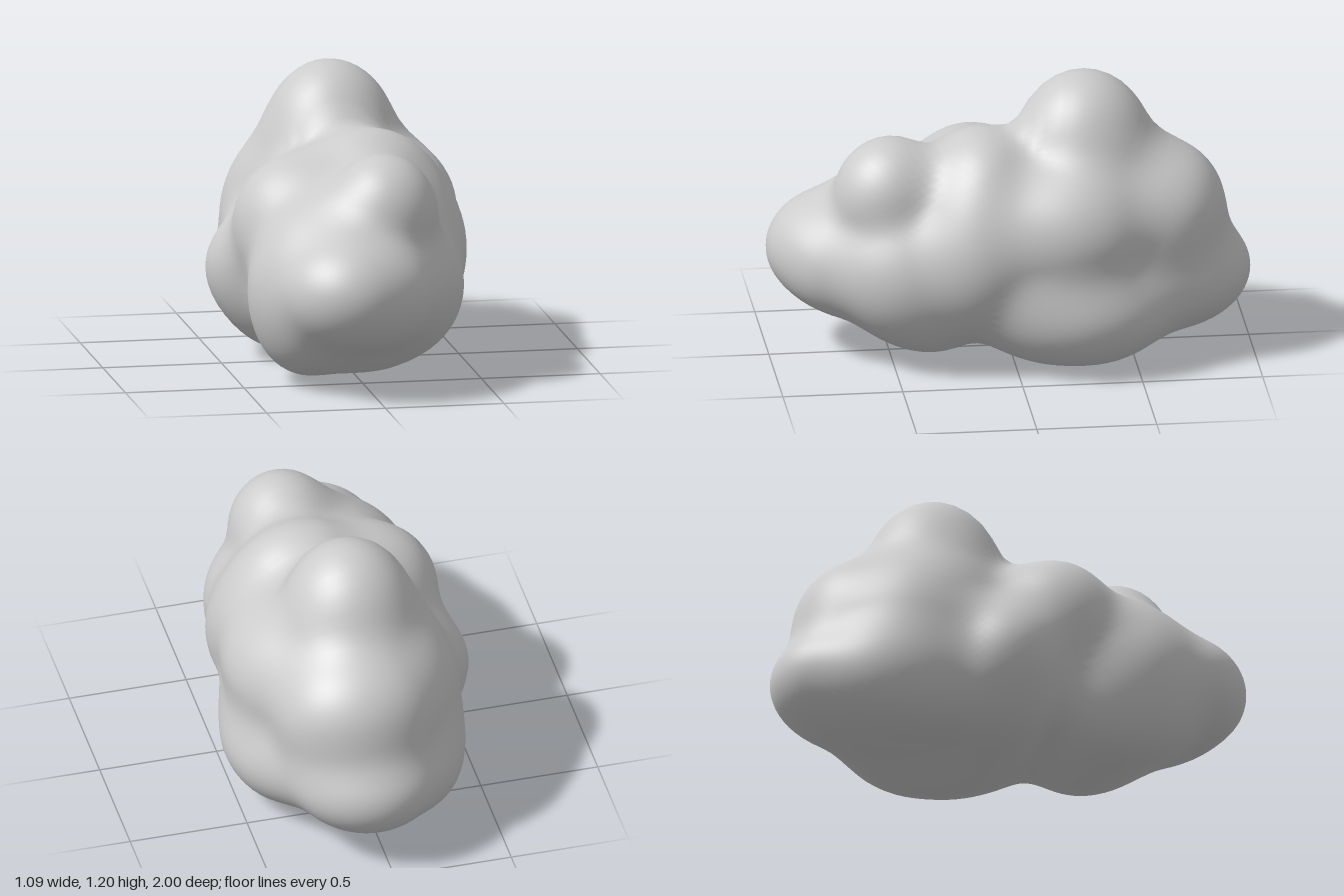
import * as THREE from 'three';
import { mergeVertices } from 'three/addons/utils/BufferGeometryUtils.js';

// Puffs of the cloud: centre x, y, z and radii x, y, z
const PUFFS = [
  [[0.00, 0.45, -0.10], [0.42, 0.37, 0.70]],  // core
  [[0.01, 0.82, -0.31], [0.29, 0.375, 0.30]], // crown
  [[0.01, 0.67, -0.33], [0.35, 0.31, 0.32]],  // crown base
  [[0.08, 0.70, 0.50], [0.23, 0.26, 0.24]],   // front top
  [[-0.09, 0.56, 0.45], [0.29, 0.25, 0.28]],  // front slope
  [[-0.10, 0.43, 0.69], [0.29, 0.25, 0.31]],  // nose
  [[0.06, 0.40, 0.66], [0.20, 0.20, 0.22]],   // nose left side
  [[-0.02, 0.40, 0.42], [0.37, 0.28, 0.34]],  // front core
  [[0.09, 0.65, 0.12], [0.33, 0.34, 0.27]],   // middle top
  [[-0.21, 0.60, 0.14], [0.27, 0.29, 0.27]],  // right shoulder
  [[-0.31, 0.38, -0.10], [0.24, 0.23, 0.22]], // right bulge
  [[-0.22, 0.26, -0.12], [0.23, 0.23, 0.26]], // right base
  [[-0.22, 0.27, 0.42], [0.22, 0.24, 0.32]],  // front right base
  [[0.04, 0.28, 0.34], [0.31, 0.26, 0.28]],   // front underside
  [[-0.24, 0.42, 0.48], [0.21, 0.24, 0.23]],  // front right side
  [[0.20, 0.40, 0.43], [0.22, 0.25, 0.26]],   // front left side
  [[0.22, 0.48, 0.15], [0.27, 0.31, 0.25]],   // left middle
  [[0.26, 0.58, -0.22], [0.26, 0.28, 0.34]],  // left shoulder
  [[0.26, 0.26, -0.28], [0.28, 0.25, 0.37]],  // left base
  [[0.03, 0.33, -0.61], [0.34, 0.26, 0.39]],  // back base
  [[0.05, 0.60, -0.61], [0.33, 0.29, 0.285]], // back top
  [[-0.16, 0.52, -0.42], [0.26, 0.32, 0.28]], // back right
  [[-0.19, 0.28, -0.47], [0.23, 0.24, 0.34]], // back right base
  [[0.08, 0.30, -0.10], [0.36, 0.29, 0.28]],  // underside
];
const BLEND = 0.12;

// Approximate distance from p to an ellipsoid
function puffDistance(p, [c, r]) {
  const d = [p.x - c[0], p.y - c[1], p.z - c[2]];
  const k0 = Math.hypot(d[0] / r[0], d[1] / r[1], d[2] / r[2]);
  const k1 = Math.hypot(d[0] / r[0] ** 2, d[1] / r[1] ** 2, d[2] / r[2] ** 2);
  return k1 < 1e-6 ? -Math.min(...r) : (k0 * (k0 - 1)) / k1;
}

// Soft union of all the puffs
function cloudDistance(p) {
  let d = 10;
  for (const puff of PUFFS) {
    const e = puffDistance(p, puff);
    const h = Math.max(BLEND - Math.abs(d - e), 0) / BLEND;
    d = Math.min(d, e) - h * h * BLEND * 0.25;
  }
  return d;
}

export function createModel() {
  const group = new THREE.Group();
  group.name = 'cloud';

  // Shrink-wrap a sphere onto the puffs, moving each vertex towards a spine along z
  let geometry = new THREE.IcosahedronGeometry(1, 24);
  geometry.deleteAttribute('normal');
  geometry.deleteAttribute('uv');
  geometry = mergeVertices(geometry, 1e-4);
  const pos = geometry.attributes.position;
  const p = new THREE.Vector3(), step = new THREE.Vector3();
  for (let i = 0; i < pos.count; i++) {
    p.fromBufferAttribute(pos, i);
    const spineZ = p.z * 0.6;
    p.set(p.x, 0.5 + p.y, p.z * 1.5);
    step.set(-p.x, 0.45 - p.y, spineZ - p.z);
    let left = step.length();
    step.normalize();
    for (let n = 0; n < 80; n++) {
      const d = cloudDistance(p);
      if (d < 0.0005 || left <= 0) break;
      const move = Math.min(d * 0.7, left);
      p.addScaledVector(step, move);
      left -= move;
    }
    pos.setXYZ(i, p.x, p.y, p.z);
  }
  geometry.computeVertexNormals();

  // Stand the cloud on the ground, centred
  geometry.computeBoundingBox();
  const mid = geometry.boundingBox.getCenter(new THREE.Vector3());
  geometry.translate(-mid.x, -geometry.boundingBox.min.y, -mid.z);

  const body = new THREE.Mesh(geometry, new THREE.MeshStandardMaterial({ color: 0xcccccc }));
  body.name = 'cloudBody';
  group.add(body);
  return group;
}
